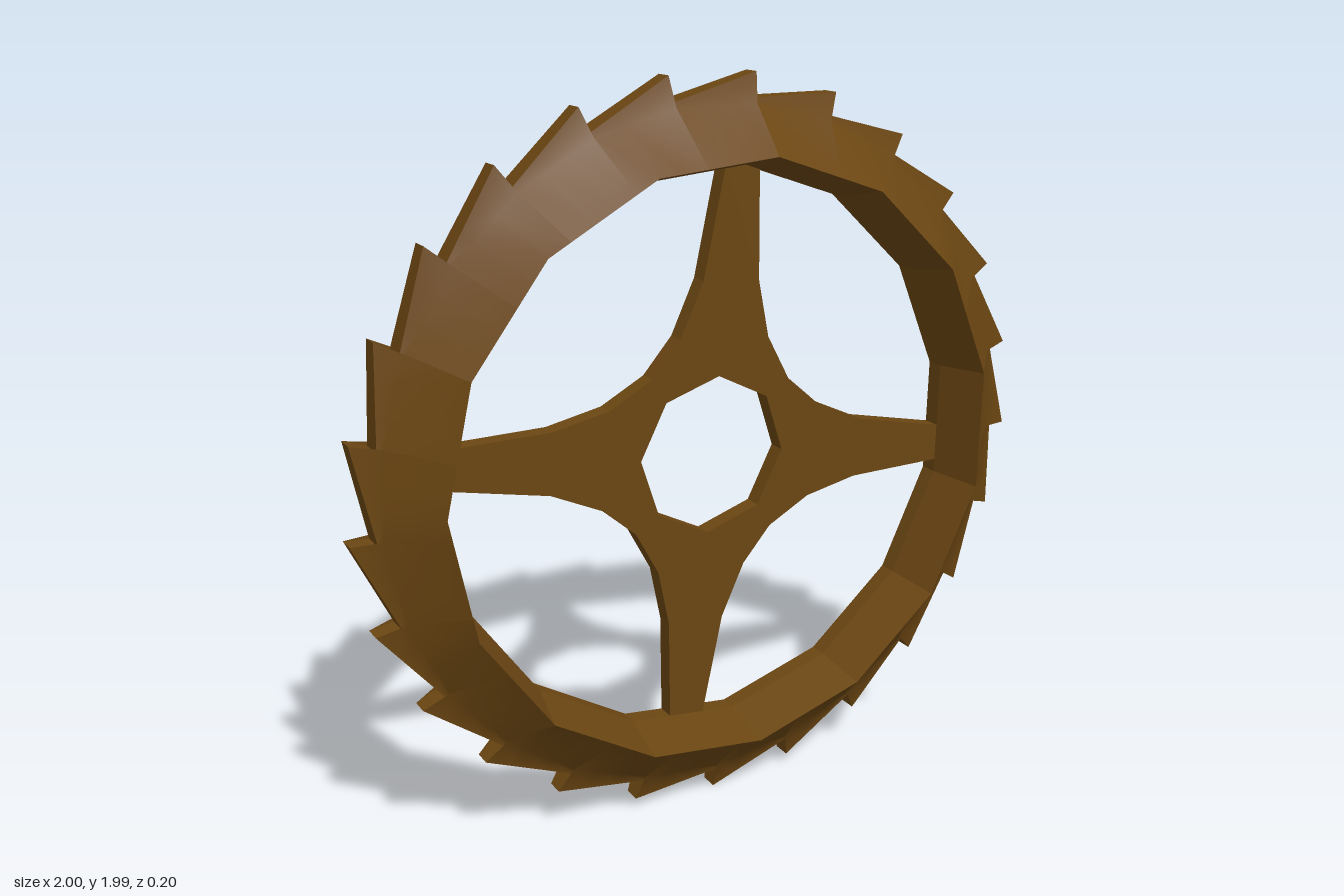
import * as THREE from 'three';

const TEETH = 25, SIDES = 15;
const START = 82.65; // direction of the first tooth tip, degrees
const STEP = 360 / TEETH;
const rad = THREE.MathUtils.degToRad;
const at = (r, deg, z) => new THREE.Vector3(r * Math.cos(rad(deg)), r * Math.sin(rad(deg)), z);

// Four stations per tooth: tip, two along the sloping back, valley
const stations = [];
for (let k = 0; k < TEETH; k++) {
  for (let j = 0; j < 4; j++) stations.push({ k, t: j / 3, deg: (k + j / 3) * STEP });
}

// Ring with straight sides
function polygonRing(r, z, sides = SIDES) {
  const wedge = 360 / sides;
  return stations.map(({ deg }) => {
    const local = ((deg + 1e-6) % wedge) - wedge / 2;
    return at(r * Math.cos(rad(wedge / 2)) / Math.cos(rad(local)), START + deg, z);
  });
}

// Saw-tooth outline, running from each tip down to the slightly undercut valley
function toothRing(zTip, zValley) {
  return stations.map(({ k, t }) => {
    const a = START + k * STEP;
    return at(1, a, zTip).lerp(at(0.936, a + STEP + 0.6, zValley), t);
  });
}

// Skin joining consecutive rings
function loft(rings, smooth) {
  const n = stations.length, index = [];
  for (let r = 0; r < rings.length - 1; r++) {
    for (let i = 0; i < n; i++) {
      const a = r * n + i, b = r * n + (i + 1) % n;
      index.push(a, a + n, b + n, a, b + n, b);
    }
  }
  let geo = new THREE.BufferGeometry().setFromPoints(rings.flat());
  geo.setIndex(index);
  if (!smooth) geo = geo.toNonIndexed();
  geo.computeVertexNormals();
  return geo;
}

export function createModel() {
  const model = new THREE.Group();
  model.name = 'ratchetWheel';
  const material = new THREE.MeshStandardMaterial({ color: 0x6b4612 });
  const add = (name, geo) => {
    const mesh = new THREE.Mesh(geo, material);
    mesh.name = name;
    mesh.position.y = 1;
    model.add(mesh);
  };

  const lip = polygonRing(0.805, 0.1);
  const root = polygonRing(0.922, -0.028, TEETH);
  const teethFront = toothRing(-0.05, -0.033);
  const teethBack = toothRing(-0.1, -0.1);
  const innerBack = polygonRing(0.768, -0.1);
  const innerFront = polygonRing(0.768, -0.05);

  // Sloping front of the rim, smooth; tooth edges, back and bore, faceted
  add('rimFront', loft([lip, root, teethFront], true));
  add('toothEdgesAndBack', loft([teethFront, teethBack, innerBack], false));
  add('rimBore', loft([innerBack, innerFront, lip], false));

  // Four curved spokes: one concave edge repeated each quarter turn
  const edge = [[0.77, -0.04], [0.475, 0.027], [0.33, 0.096], [0.235, 0.18],
    [0.17, 0.304], [0.14, 0.46], [0.14, 0.757]];
  const outline = [];
  for (let q = 0; q < 4; q++) {
    for (const [x, y] of edge) {
      outline.push(new THREE.Vector2(x, y).rotateAround(new THREE.Vector2(), q * Math.PI / 2));
    }
  }
  const shape = new THREE.Shape(outline);

  // Octagonal hub hole
  const hole = [];
  for (let i = 0; i < 8; i++) {
    const p = at(0.217, 85 - i * 45, 0);
    hole.push(new THREE.Vector2(p.x, p.y));
  }
  shape.holes.push(new THREE.Path(hole));
  const spokes = new THREE.ExtrudeGeometry(shape, { depth: 0.05, bevelEnabled: false });
  spokes.translate(0, 0, -0.1);
  add('spokesAndHub', spokes);

  return model;
}
